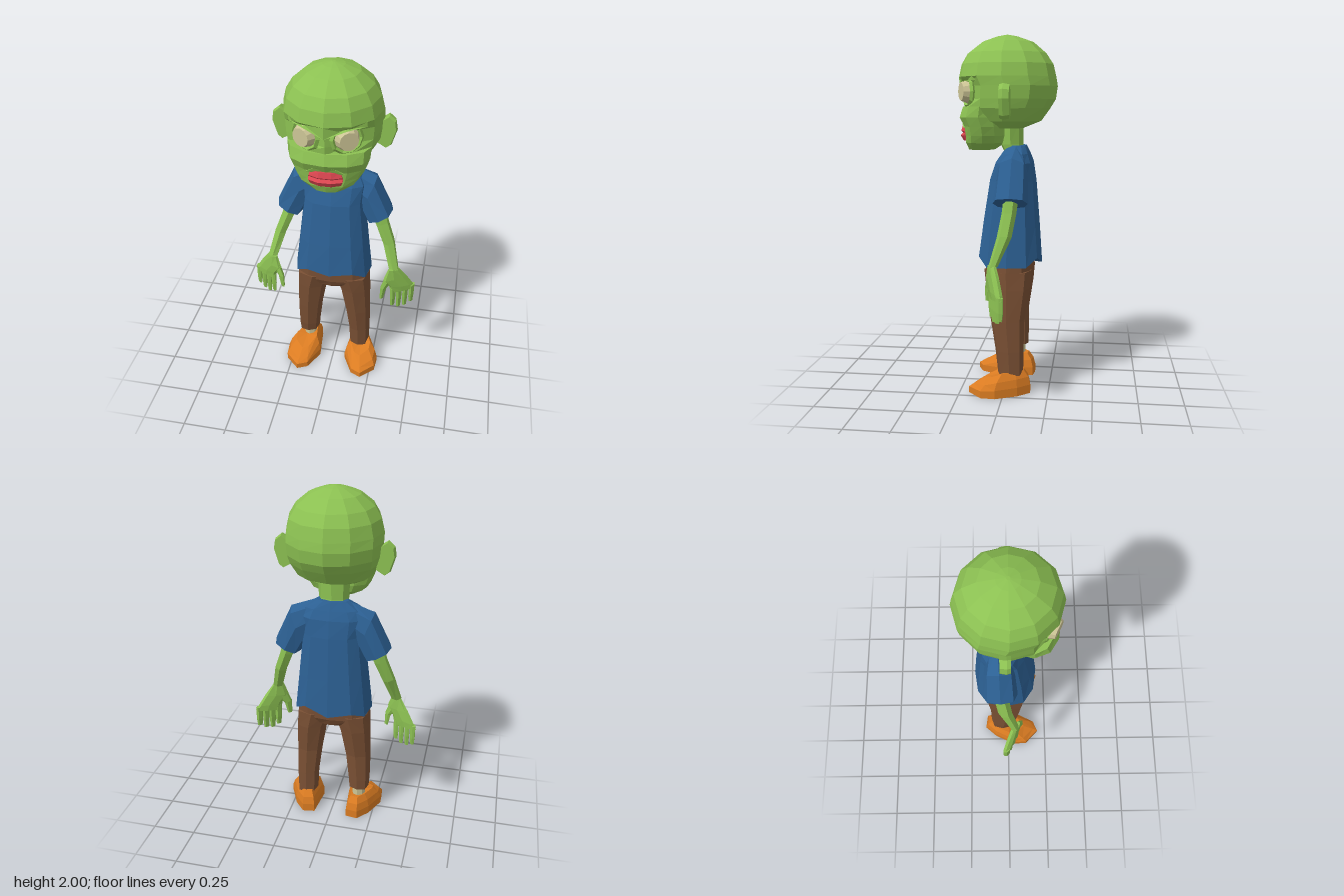
import * as THREE from 'three';

const mat = (name, color) => Object.assign(new THREE.MeshStandardMaterial({ color }), { name });

// Cross-section from an inner to an outer point in xy, spanning zf..zb; e < 1 makes it boxier
function sec(x0, y0, x1, y1, zf, zb, n = 8, e = 1) {
  const pow = v => Math.sign(v) * Math.abs(v) ** e;
  return Array.from({ length: n }, (_, i) => {
    const a = (i / n) * Math.PI * 2;
    const t = (1 + pow(Math.sin(a))) / 2;
    return [x0 + (x1 - x0) * t, y0 + (y1 - y0) * t, (zf + zb) / 2 + pow(Math.cos(a)) * (zf - zb) / 2];
  });
}
// Level cross-section centred on x = 0
const level = (y, w, zf, zb, n, e) => sec(-w, y, w, y, zf, zb, n, e);

// Closed faceted skin through a list of rings; side = -1 mirrors it in x
function loft(rings, side = 1) {
  const tris = [];
  const n = rings[0].length;
  const mid = r => [0, 1, 2].map(k => r.reduce((s, p) => s + p[k], 0) / n);
  const first = rings[0], last = rings[rings.length - 1];
  const c0 = mid(first), c1 = mid(last);
  for (let i = 0; i < n; i++) {
    const j = (i + 1) % n;
    tris.push([c0, first[j], first[i]], [c1, last[i], last[j]]);
    for (let k = 0; k + 1 < rings.length; k++) {
      const a = rings[k], b = rings[k + 1];
      tris.push([a[i], a[j], b[j]], [a[i], b[j], b[i]]);
    }
  }
  const V = tris.map(t => t.map(p => new THREE.Vector3(p[0] * side, p[1], p[2])));
  const volume = V.reduce((s, [a, b, c]) => s + a.dot(b.clone().cross(c)), 0);
  if (volume < 0) V.forEach(t => t.reverse());
  const g = new THREE.BufferGeometry().setFromPoints(V.flat());
  g.computeVertexNormals();
  return g;
}

export function createModel() {
  const model = new THREE.Group();
  const skin = mat('green skin', 0x8cc152);
  const shirt = mat('blue shirt', 0x2c6093);
  const trousers = mat('brown trousers', 0x7a5034);
  const shoe = mat('orange shoe', 0xdb7c22);
  const red = mat('red mouth', 0xdb4650);
  const pale = mat('pale eye and sock', 0xcdc596);

  const add = (name, geometry, material, parent = model) => {
    const m = new THREE.Mesh(geometry, material);
    m.name = name;
    parent.add(m);
    return m;
  };
  const facet = g => {
    const f = g.toNonIndexed();
    f.computeVertexNormals();
    return f;
  };

  // Skull, with the eye rows pushed in beside the nose
  const skull = [
    [1.49, .14, .1, -.09], [1.53, .21, .2, -.19], [1.6, .25, .245, -.24], [1.65, .26, .25, -.27],
    [1.72, .265, .25, -.28], [1.77, .265, .275, -.272], [1.84, .248, .26, -.255], [1.9, .212, .225, -.215],
    [1.96, .14, .145, -.145], [1.99, .06, .06, -.06], [2, .01, .01, -.01],
  ].map(([y, w, zf, zb]) => {
    const r = level(y, w, zf, zb, 12);
    if (y > 1.62 && y < 1.75) [1, 11].forEach(i => { r[i][2] -= .035; });
    return r;
  });
  add('skull', loft(skull), skin);

  // Muzzle and jaw
  add('jaw', loft([
    level(1.37, .09, .22, .07, 12, .85), level(1.41, .155, .235, .01, 12, .85), level(1.45, .18, .235, 0, 12, .85),
    level(1.5, .2, .24, 0, 12, .85), level(1.55, .215, .268, 0, 12, .9), level(1.61, .22, .25, 0, 12),
  ]), skin);

  // Lips with a groove between them, under a peaked upper lip
  const lip = (y, w, dz) => [[-1, .16], [-1, .228], [-.4, .25], [.4, .25], [1, .228], [1, .16]]
    .map(([x, z]) => [x * w, y, z + dz]);
  add('mouth', loft([lip(1.42, .08, -.005), lip(1.45, .09, .012), lip(1.464, .09, -.002),
    lip(1.475, .088, .008), lip(1.505, .078, 0)]), red);
  const peak = z => [[-.1, 1.495], [.1, 1.495], [.06, 1.525], [0, 1.55], [-.06, 1.525]]
    .map(([x, y]) => [x, y, z - Math.abs(x) * .3]);
  add('upperLip', loft([peak(.2), peak(.266)]), skin);

  add('neck', loft([level(1.32, .085, .0, -.1), level(1.4, .085, .04, -.09), level(1.52, .09, .04, -.09)]), skin);

  // Shirt body with a ragged hem
  const hem = level(.74, .225, .165, -.2, 12, .75);
  [.02, .035, -.015, -.01, -.01, .035, -.015, .01, -.02, -.01, -.015, .04].forEach((d, i) => { hem[i][1] += d; });
  add('shirtBody', loft([
    hem, level(.95, .2, .14, -.185, 12, .75), level(1.2, .172, .1, -.165, 12, .75),
    level(1.3, .185, .065, -.15, 12, .75), level(1.35, .16, .03, -.13, 12, .8), level(1.395, .09, -.005, -.11, 12),
  ]), shirt);

  add('hips', loft([level(.635, .1, .1, -.13, 12, .7), level(.68, .215, .118, -.15, 12, .7),
    level(.82, .205, .125, -.16, 12, .7)]), trousers);

  for (const s of [1, -1]) {
    const side = new THREE.Group();
    side.name = s > 0 ? 'leftParts' : 'rightParts';
    model.add(side);

    // Eye disc turned outwards in a raised socket
    const eye = new THREE.Group();
    eye.name = 'eye';
    eye.position.set(.108 * s, 1.69, .212);
    eye.rotation.y = .48 * s;
    side.add(eye);
    add('eyeball', facet(new THREE.CylinderGeometry(.05, .067, .045, 12).rotateX(Math.PI / 2)), pale, eye).position.z = .012;
    add('socketRim', facet(new THREE.TorusGeometry(.077, .014, 4, 10)), skin, eye).position.z = -.008;

    // Sloping brow
    const brow = z => [[.0, 1.705], [.11, 1.745], [.2, 1.745], [.2, 1.775], [0, 1.775]]
      .map(([x, y]) => [x, y, z - x * x * 2.6]);
    add('brow', loft([brow(.21), brow(.274)], s), skin, side);

    // Ear
    const ear = (z, k) => [[.23, 1.57], [.28, 1.54], [.305, 1.56], [.333, 1.65], [.325, 1.7], [.29, 1.73], [.25, 1.7]]
      .map(([x, y]) => [.24 + (x - .24) * k, 1.64 + (y - 1.64) * k, z]);
    add('ear', loft([ear(-.045, .93), ear(-.01, 1), ear(.01, .93)], s), skin, side);

    // Sleeve
    add('sleeve', loft([
      sec(.06, 1.2, .1, 1.388, -.005, -.11), sec(.15, 1.13, .235, 1.335, .035, -.135, 8, .8),
      sec(.19, 1.06, .33, 1.13, .05, -.14, 8, .8),
    ], s), shirt, side);

    // Arm
    add('arm', loft([
      sec(.19, 1.13, .28, 1.17, -.01, -.09, 6), sec(.235, 1.03, .31, 1.05, .0, -.08, 6),
      sec(.285, .91, .352, .93, .02, -.06, 6), sec(.33, .77, .39, .77, .06, .01, 6),
    ], s), skin, side);

    // Hand, angled so the thumb is forward
    const hand = rings => loft(rings.map(r => r.map(([x, y, z]) => [x, y, z + .02 - (x - .4) * .5])), s);
    add('palm', hand([
      sec(.33, .775, .388, .775, .022, -.022), sec(.305, .7, .432, .71, .026, -.026, 8, .8),
      sec(.34, .65, .472, .64, .026, -.026, 8, .8), sec(.35, .6, .488, .61, .022, -.022, 8, .8),
    ]), skin, side);
    [[.364, .5], [.398, .482], [.433, .485], [.468, .505]].forEach(([x, y], i) => add('finger' + (i + 1), hand([
      sec(x - .018, .63, x + .018, .63, .02, -.02, 6), sec(x - .016, .55, x + .017, .55, .02, -.02, 6),
      sec(x - .013, y, x + .013, y, .014, -.014, 6),
    ]), skin, side));
    add('thumb', hand([
      sec(.315, .72, .365, .69, .022, -.022, 6), sec(.29, .65, .328, .64, .02, -.02, 6),
      sec(.288, .57, .312, .57, .015, -.015, 6),
    ]), skin, side);

    // Trouser leg, shorter on the right
    const cuff = s > 0 ? .11 : .18;
    add('trouserLeg', loft([
      sec(.098, cuff + .01, .22, cuff, .035, -.108, 8, .75), sec(.093, .25, .224, .25, .05, -.11, 8, .75),
      sec(.072, .42, .224, .42, .078, -.112, 8, .75), sec(.04, .6, .22, .6, .105, -.14, 8, .75),
      sec(.0, .7, .215, .7, .12, -.15, 8, .75),
    ], s), trousers, side);

    add('sock', loft([sec(.12, .08, .2, .08, .0, -.09), sec(.12, .25, .2, .25, .0, -.09)], s), pale, side);

    // Shoe with the toe turned out
    const sole = [[.1, -.14], [.17, -.15], [.23, -.08], [.285, .04], [.28, .12], [.2, .197], [.14, .17], [.08, .05]];
    const layer = (k, y, slope) => sole.map(([x, z]) => {
      const pz = -.05 + (z + .05) * k;
      return [.158 + (x - .158) * k, y - slope * Math.max(0, pz), pz];
    });
    add('shoe', loft([layer(1, 0, 0), layer(1, .05, .08), layer(.88, .095, .25), layer(.62, .132, .4)], s), shoe, side);
  }
  return model;
}
